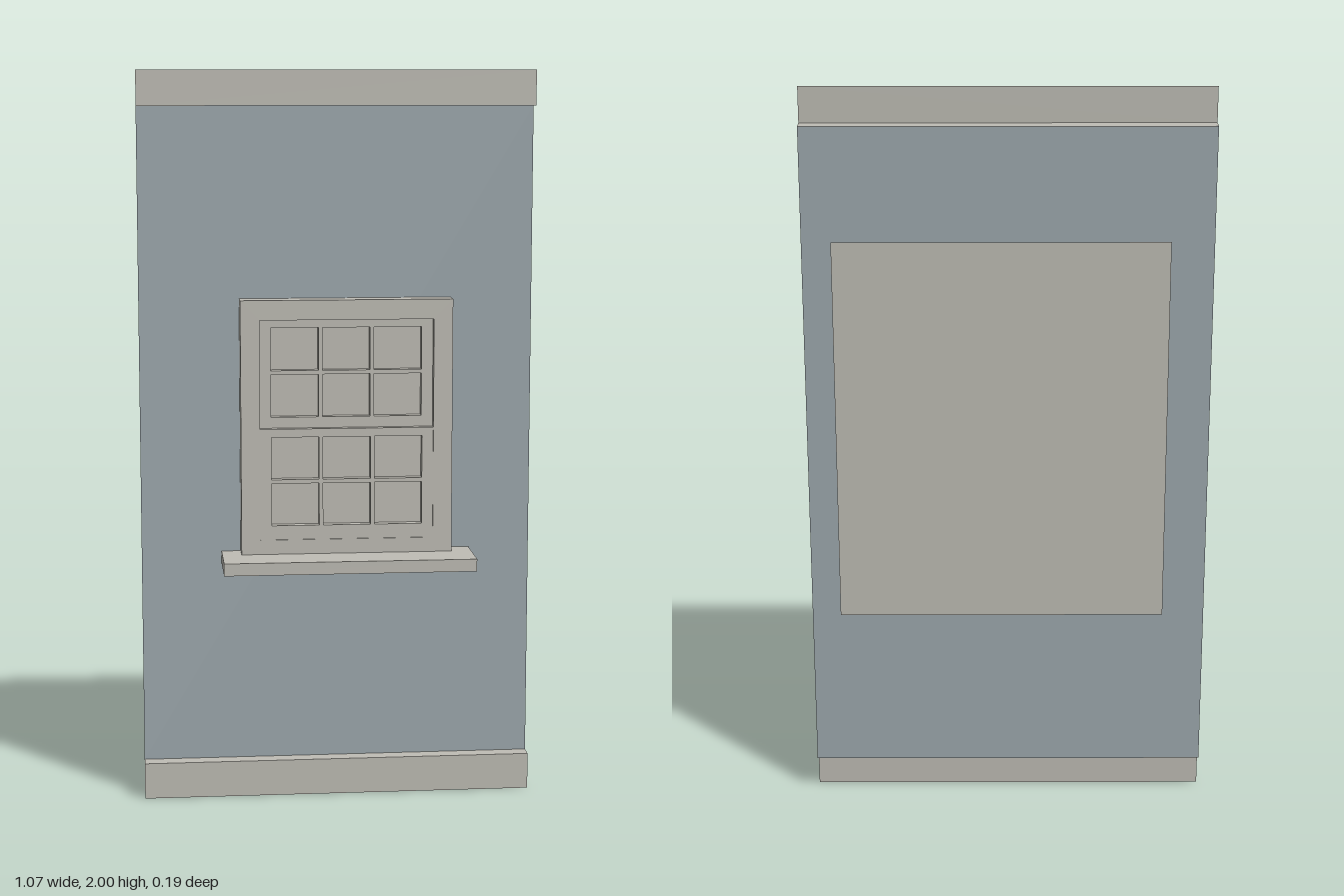
import * as THREE from 'three';

const trim = new THREE.MeshStandardMaterial({ color: 0xbfbdb5, side: THREE.DoubleSide });
trim.name = 'warm grey trim';
const paint = new THREE.MeshStandardMaterial({ color: 0x9ea9ae, side: THREE.DoubleSide });
paint.name = 'blue grey wall';

const WALL_Z = -0.079, STRIP_Z = -0.036, HALF = 0.537;

function rectPath(PathType, x0, x1, y0, y1) {
  const p = new PathType();
  p.moveTo(x0, y0);
  p.lineTo(x1, y0);
  p.lineTo(x1, y1);
  p.lineTo(x0, y1);
  p.closePath();
  return p;
}

function add(parent, name, geometry, material, x = 0, y = 0, z = 0) {
  const mesh = new THREE.Mesh(geometry, material);
  mesh.name = name;
  mesh.position.set(x, y, z);
  parent.add(mesh);
  return mesh;
}

// Upright sheet between two corners
function sheet(parent, name, material, x0, x1, y0, y1, z) {
  return add(parent, name, new THREE.PlaneGeometry(x1 - x0, y1 - y0), material,
    (x0 + x1) / 2, (y0 + y1) / 2, z);
}

// Slab with rectangular holes, front face at z1
function slab(parent, name, outer, holes, z0, z1) {
  const shape = rectPath(THREE.Shape, ...outer);
  holes.forEach(h => shape.holes.push(rectPath(THREE.Path, ...h)));
  const geometry = new THREE.ExtrudeGeometry(shape, { depth: z1 - z0, bevelEnabled: false });
  return add(parent, name, geometry, trim, 0, 0, z0);
}

// Sash with three by two panes
function sash(parent, name, x0, x1, y0, y1, paneY0, paneY1, z) {
  const group = new THREE.Group();
  group.name = name;
  const px0 = -0.182, px1 = 0.23, gap = 0.011;
  const w = (px1 - px0 - 2 * gap) / 3, h = (paneY1 - paneY0 - gap) / 2;
  const holes = [];
  for (let c = 0; c < 3; c++) {
    for (let r = 0; r < 2; r++) {
      const x = px0 + c * (w + gap), y = paneY0 + r * (h + gap);
      holes.push([x, x + w, y, y + h]);
    }
  }
  slab(group, 'sashFrame', [x0, x1, y0, y1], holes, z - 0.024, z);
  sheet(group, 'panes', trim, x0, x1, y0, y1, z - 0.0235);
  parent.add(group);
}

export function createModel() {
  const model = new THREE.Group();
  model.name = 'wallWithWindow';

  // Wall sheet and the cover sheet behind it
  sheet(model, 'wall', paint, -HALF, HALF, 0.1, 1.905, WALL_Z);
  sheet(model, 'backPanel', trim, -0.423, 0.459, 0.55, 1.605, -0.095);

  // Skirting and cornice: a front face and one ledge each
  for (const [name, y0, y1, ledgeY] of [['skirting', 0, 0.1, 0.1], ['cornice', 1.905, 2, 1.905]]) {
    const strip = new THREE.Group();
    strip.name = name;
    sheet(strip, 'face', trim, -HALF, HALF, y0, y1, STRIP_Z);
    const ledge = add(strip, 'ledge', new THREE.PlaneGeometry(HALF * 2, STRIP_Z - WALL_Z), trim,
      0, ledgeY, (STRIP_Z + WALL_Z) / 2);
    ledge.rotation.x = -Math.PI / 2;
    model.add(strip);
  }

  // Window: casing, two sashes and sill
  const win = new THREE.Group();
  win.name = 'window';
  const x0 = -0.213, x1 = 0.261;
  slab(win, 'casing', [-0.265, 0.313, 0.69, 1.387], [[x0, x1, 0.73, 1.333]], -0.076, -0.018);
  sash(win, 'upperSash', x0, x1, 1.03, 1.333, 1.066, 1.31, -0.04);
  sash(win, 'lowerSash', x0, x1, 0.73, 1.036, 0.769, 1.013, -0.021);
  add(win, 'sill', new THREE.BoxGeometry(0.686, 0.034, 0.171), trim, 0.025, 0.673, 0.0095);
  model.add(win);

  return model;
}
